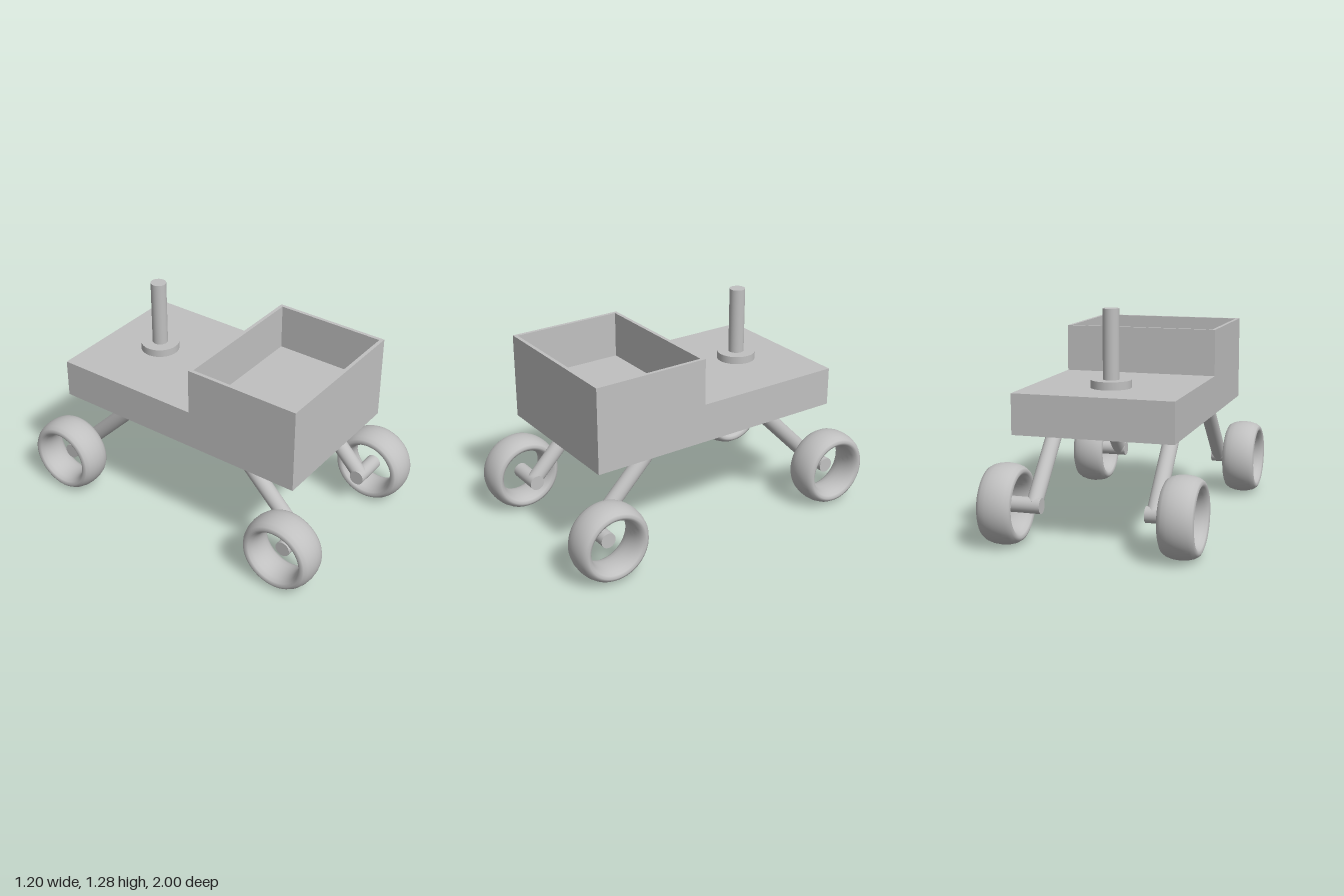
import * as THREE from 'three';

const grey = new THREE.MeshStandardMaterial({ color: 0xc0c0c0 });
grey.name = 'light grey';

const UP = new THREE.Vector3(0, 1, 0);

function part(name, geometry, x = 0, y = 0, z = 0) {
  const mesh = new THREE.Mesh(geometry, grey);
  mesh.name = name;
  mesh.position.set(x, y, z);
  return mesh;
}

// Round bar between two points
function bar(name, from, to, radius) {
  const a = new THREE.Vector3(...from), b = new THREE.Vector3(...to);
  const direction = b.clone().sub(a);
  const mesh = part(name, new THREE.CylinderGeometry(radius, radius, direction.length(), 32));
  mesh.position.copy(a).add(b).multiplyScalar(0.5);
  mesh.quaternion.setFromUnitVectors(UP, direction.normalize());
  return mesh;
}

// Rectangle outline centred on the origin
function rectangle(path, w, d) {
  path.moveTo(-w, -d);
  path.lineTo(w, -d);
  path.lineTo(w, d);
  path.lineTo(-w, d);
  path.closePath();
  return path;
}

export function createModel() {
  const model = new THREE.Group();
  model.name = 'rover';

  const halfWidth = 0.455, bottom = 0.615, deckTop = 0.843, binTop = 1.115;

  // Flat chassis
  model.add(part('chassis', new THREE.BoxGeometry(halfWidth * 2, deckTop - bottom, 1.596),
    0, (bottom + deckTop) / 2, 0));

  // Open cargo bin at the front, thin walls on the chassis floor
  const binFront = 0.798, binBack = 0.105, wall = 0.021;
  const halfDepth = (binFront - binBack) / 2;
  const frame = rectangle(new THREE.Shape(), halfWidth, halfDepth);
  frame.holes.push(rectangle(new THREE.Path(), halfWidth - wall, halfDepth - wall));
  const binGeometry = new THREE.ExtrudeGeometry(frame, { depth: binTop - deckTop, bevelEnabled: false });
  binGeometry.rotateX(-Math.PI / 2);
  model.add(part('cargoBin', binGeometry, 0, deckTop, (binFront + binBack) / 2));

  // Mast on a round base
  const mastZ = -0.455;
  model.add(bar('mastBase', [0, deckTop, mastZ], [0, 0.888, mastZ], 0.114));
  model.add(bar('mast', [0, deckTop, mastZ], [0, 1.28, mastZ], 0.046));

  // Four corners: slanted leg, stub axle and open ring wheel
  const hubY = 0.227, hubZ = 0.775;
  const wheelGeometry = new THREE.TorusGeometry(0.1825, 0.0425, 16, 64);
  wheelGeometry.scale(1, 1, 0.1 / 0.0425);
  wheelGeometry.rotateY(Math.PI / 2);
  for (const [end, ez] of [['front', 1], ['back', -1]]) {
    for (const [side, sx] of [['Left', 1], ['Right', -1]]) {
      const corner = new THREE.Group();
      corner.name = end + side + 'Suspension';
      corner.add(
        bar('leg', [sx * 0.34, hubY, ez * hubZ], [sx * 0.34, 0.633, ez * 0.375], 0.045),
        bar('axle', [sx * 0.295, hubY, ez * hubZ], [sx * 0.5, hubY, ez * hubZ], 0.0445),
        part('wheel', wheelGeometry, sx * 0.5, hubY, ez * hubZ));
      model.add(corner);
    }
  }
  return model;
}
